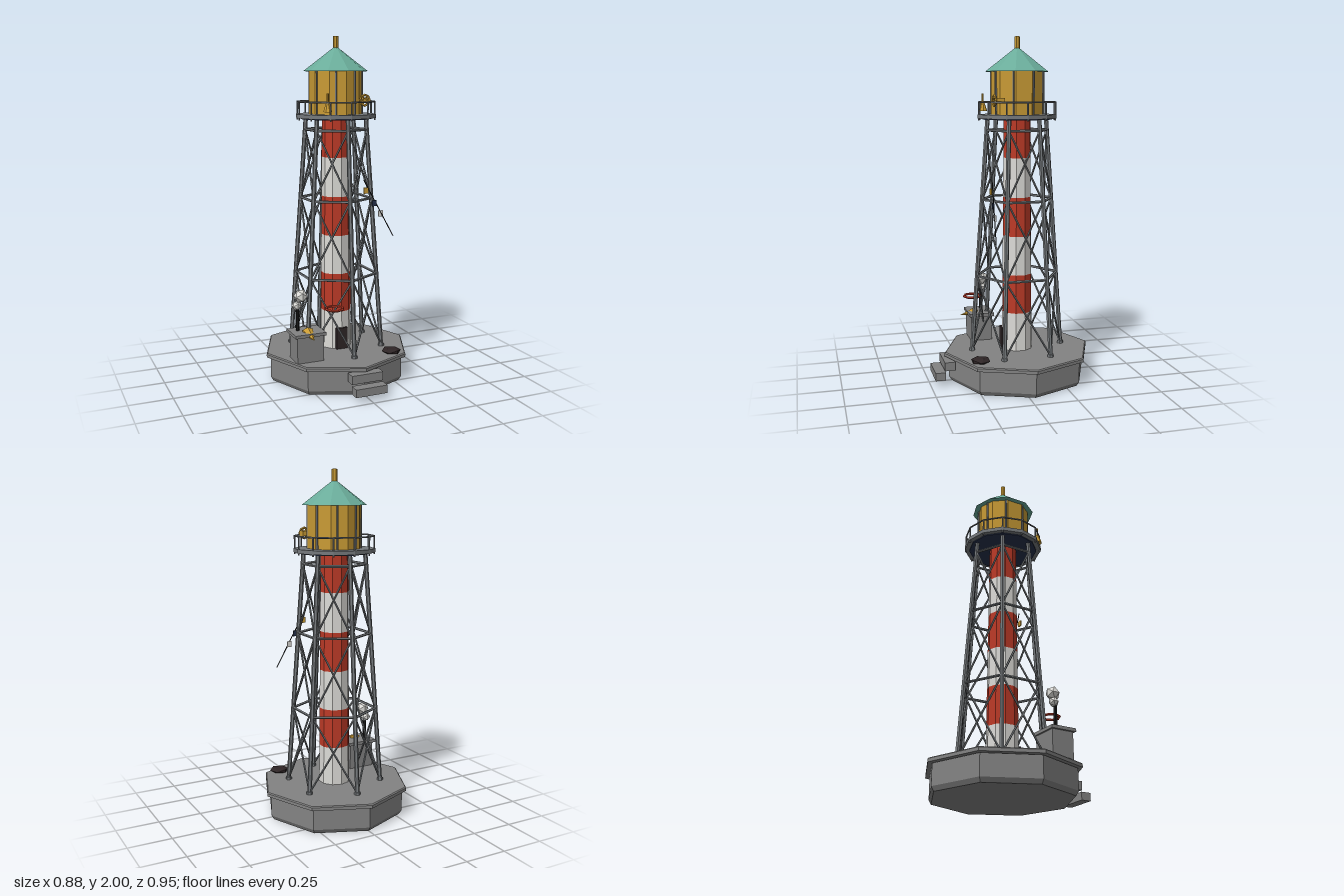
import * as THREE from 'three';

const mat = (name, color) => {
  const m = new THREE.MeshStandardMaterial({ color });
  m.name = name;
  return m;
};

export function createModel() {
  const stone = mat('stone grey', 0x838383);
  const steel = mat('steel grey', 0x767a7d);
  const white = mat('white', 0xdcdbd7);
  const red = mat('red', 0xbc3a27);
  const gold = mat('gold', 0xc99b35);
  const teal = mat('copper green', 0x6aac9a);
  const dark = mat('dark brown', 0x2e2526);
  const navy = mat('navy', 0x27324d);
  const black = mat('black', 0x161616);

  const model = new THREE.Group();
  model.name = 'lighthouse';
  const tower = new THREE.Group(); // everything centred on the tower axis
  tower.name = 'tower';
  tower.position.z = -0.035;
  model.add(tower);

  // Faceted mesh helper
  const add = (parent, name, geo, material, x = 0, y = 0, z = 0) => {
    const g = geo.index ? geo.toNonIndexed() : geo;
    g.computeVertexNormals();
    const m = new THREE.Mesh(g, material);
    m.name = name;
    m.position.set(x, y, z);
    parent.add(m);
    return m;
  };
  const prism = (parent, name, material, r0, r1, y0, y1, sides, x = 0, z = 0) =>
    add(parent, name, new THREE.CylinderGeometry(r1, r0, y1 - y0, sides), material, x, (y0 + y1) / 2, z);
  const box = (parent, name, material, w, h, d, x, y, z) =>
    add(parent, name, new THREE.BoxGeometry(w, h, d), material, x, y, z);
  // Straight bar between two points
  const bar = (parent, name, material, a, b, r, sides = 5) => {
    const dir = b.clone().sub(a);
    const m = add(parent, name, new THREE.CylinderGeometry(r, r, dir.length(), sides), material);
    m.position.copy(a).add(b).multiplyScalar(0.5);
    m.quaternion.setFromUnitVectors(new THREE.Vector3(0, 1, 0), dir.normalize());
    return m;
  };
  const polar = (r, k, n, y) => {
    const t = (k / n) * Math.PI * 2;
    return new THREE.Vector3(r * Math.sin(t), y, r * Math.cos(t));
  };

  // Octagonal foundation with chamfered foot and overhanging rim
  prism(tower, 'foundationFoot', stone, 0.4, 0.415, 0, 0.025, 8);
  prism(tower, 'foundation', stone, 0.415, 0.415, 0.025, 0.145, 8);
  prism(tower, 'foundationRim', stone, 0.44, 0.44, 0.148, 0.166, 8);
  prism(tower, 'foundationRimBevel', stone, 0.44, 0.434, 0.166, 0.172, 8);
  box(model, 'upperStep', stone, 0.19, 0.05, 0.06, 0, 0.115, 0.39);
  box(model, 'lowerStep', stone, 0.19, 0.046, 0.06, 0, 0.058, 0.445);

  // Striped shaft
  const bands = 6, shaftBase = 0.17, shaftTop = 1.54;
  const shaftR = (t) => 0.092 - 0.012 * t;
  for (let i = 0; i < bands; i++) {
    const t0 = i / bands, t1 = (i + 1) / bands;
    prism(tower, 'shaftBand', i % 2 ? red : white, shaftR(t0), shaftR(t1),
      THREE.MathUtils.lerp(shaftBase, shaftTop, t0), THREE.MathUtils.lerp(shaftBase, shaftTop, t1), 10);
  }
  box(model, 'door', dark, 0.07, 0.13, 0.025, 0, 0.235, 0.052);

  // Steel frame: six legs, three hoops and crossed braces
  const legR = (y) => THREE.MathUtils.lerp(0.275, 0.175, (y - 0.17) / 1.37);
  const levels = [0.18, 0.62, 1.07, 1.47];
  const joint = (k, y) => polar(legR(y), k, 6, y);
  for (let k = 0; k < 6; k++) {
    bar(tower, 'leg', steel, joint(k, 0.165), joint(k, 1.54), 0.013, 6);
    prism(tower, 'legFoot', steel, 0.018, 0.018, 0.17, 0.188, 6, joint(k, 0.18).x, joint(k, 0.18).z);
    for (let i = 0; i < 3; i++) {
      const lo = levels[i], hi = levels[i + 1];
      bar(tower, 'hoop', steel, joint(k, hi), joint(k + 1, hi), 0.008);
      bar(tower, 'brace', steel, joint(k, lo), joint(k + 1, hi), 0.006);
      bar(tower, 'brace', steel, joint(k + 1, lo), joint(k, hi), 0.006);
    }
  }

  // Gallery deck and railing
  prism(tower, 'gallerySoffit', navy, 0.205, 0.205, 1.531, 1.54, 12);
  prism(tower, 'galleryDeck', steel, 0.233, 0.233, 1.537, 1.56, 12);
  for (let k = 0; k < 12; k++) {
    bar(tower, 'railPost', steel, polar(0.226, k, 12, 1.526), polar(0.226, k, 12, 1.632), 0.005);
    bar(tower, 'handRail', steel, polar(0.226, k, 12, 1.63), polar(0.226, k + 1, 12, 1.63), 0.005);
  }

  // Lantern room, roof and finial
  prism(tower, 'lanternRoom', gold, 0.154, 0.154, 1.56, 1.81, 10);
  for (let k = 0; k < 8; k++)
    bar(tower, 'mullion', steel, polar(0.152, k + 0.5, 8, 1.56), polar(0.152, k + 0.5, 8, 1.81), 0.006);
  add(tower, 'roof', new THREE.ConeGeometry(0.187, 0.143, 10), teal, 0, 1.8735, 0);
  prism(tower, 'finial', gold, 0.016, 0.016, 1.93, 2.0, 6);

  // Bell on the gallery
  prism(model, 'bell', gold, 0.027, 0.008, 1.578, 1.635, 8, -0.122, 0.14);
  prism(model, 'bellHanger', gold, 0.006, 0.006, 1.635, 1.68, 6, -0.122, 0.14);

  // Hand wheel on the gallery
  const wheel = new THREE.Group();
  wheel.name = 'handWheel';
  wheel.position.set(0.11, 1.64, 0.127);
  model.add(wheel);
  add(wheel, 'wheelRim', new THREE.TorusGeometry(0.03, 0.007, 5, 8), gold);
  for (let k = 0; k < 3; k++)
    box(wheel, 'wheelSpoke', gold, 0.056, 0.006, 0.006, 0, 0, 0).rotation.z = (k * Math.PI) / 3;
  box(wheel, 'wheelMount', gold, 0.03, 0.03, 0.045, 0.02, 0, -0.03);

  // Store hut with stove pipe and smoke
  box(model, 'hut', stone, 0.16, 0.155, 0.13, -0.255, 0.2475, 0.14);
  box(model, 'hutRoof', stone, 0.185, 0.018, 0.152, -0.257, 0.332, 0.14);
  prism(model, 'stovePipe', black, 0.011, 0.011, 0.335, 0.47, 6, -0.302, 0.118);
  add(model, 'smallSmokePuff', new THREE.IcosahedronGeometry(0.029, 0), white, -0.304, 0.484, 0.108);
  add(model, 'largeSmokePuff', new THREE.IcosahedronGeometry(0.041, 0), white, -0.282, 0.54, 0.117);

  // Horn resting on the hut roof
  const horn = add(model, 'horn', new THREE.ConeGeometry(0.036, 0.108, 6), gold, -0.255, 0.328, 0.207);
  horn.rotation.x = Math.PI / 2 + 0.2;
  horn.scale.z = 0.75;

  // Life ring hung on the frame
  const ring = add(model, 'lifeRing', new THREE.TorusGeometry(0.05, 0.0075, 5, 8), red, -0.113, 0.473, 0.213);
  ring.rotation.x = Math.PI / 2;

  // Flattened rock on the foundation
  const rock = add(model, 'rock', new THREE.IcosahedronGeometry(0.059, 0), dark, 0.235, 0.187, 0.242);
  rock.scale.y = 0.32;
  rock.rotation.y = 0.4;

  // Signal line with small flags
  bar(model, 'signalLine', black, new THREE.Vector3(0.1, 1.19, 0.138), new THREE.Vector3(0.28, 0.855, 0.16), 0.003);
  [[gold, 0.11, 1.128], [navy, 0.163, 1.052], [white, 0.203, 0.99]].forEach(([m, x, y]) =>
    box(model, 'signalFlag', m, 0.028, 0.034, 0.008, x, y, 0.148));

  return model;
}
